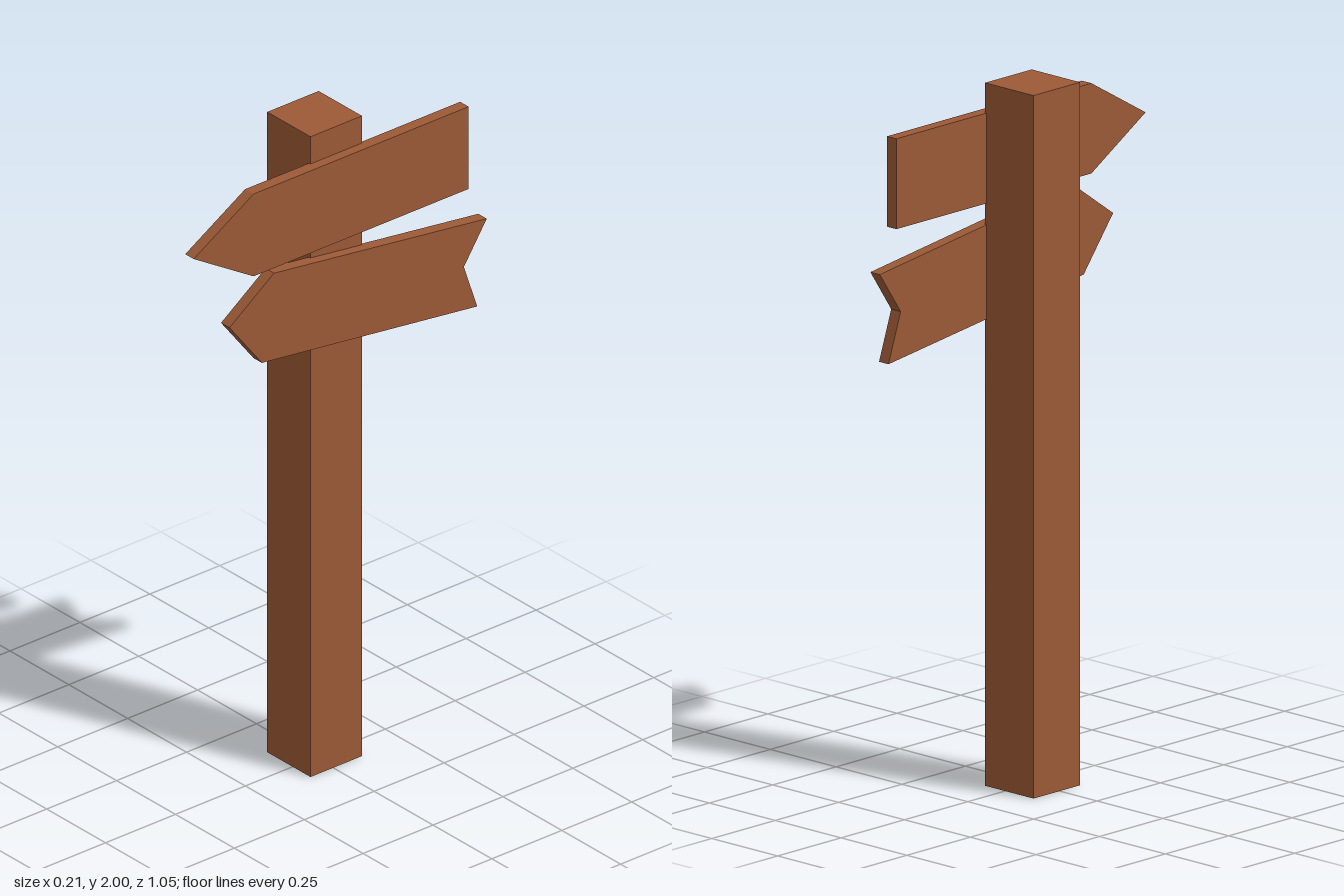
import * as THREE from 'three';

export function createModel() {
  const group = new THREE.Group();
  const wood = new THREE.MeshStandardMaterial({ color: 0x9c5a36 });
  wood.name = 'brown wood';

  // Square post
  const post = new THREE.Mesh(new THREE.BoxGeometry(0.184, 2, 0.184), wood);
  post.name = 'post';
  post.position.set(-0.016, 1, -0.011);
  group.add(post);

  // Flat board from a [z, y] outline, fixed to the +x side of the post
  function addBoard(name, outline) {
    const shape = new THREE.Shape(outline.map(([z, y]) => new THREE.Vector2(-z, y)));
    const geometry = new THREE.ExtrudeGeometry(shape, { depth: 0.036, bevelEnabled: false });
    geometry.rotateY(Math.PI / 2);
    const board = new THREE.Mesh(geometry, wood);
    board.name = name;
    board.position.x = 0.07;
    group.add(board);
  }

  // Level board with a pointed end
  addBoard('upperArrowBoard', [
    [0.524, 1.788], [0.31, 1.658], [-0.459, 1.658], [-0.459, 1.915], [0.31, 1.915],
  ]);

  // Tilted board with a pointed end and a notched tail
  addBoard('lowerArrowBoard', [
    [0.396, 1.528], [0.28, 1.377], [-0.49, 1.28], [-0.442, 1.42], [-0.524, 1.542], [0.237, 1.642],
  ]);

  return group;
}
